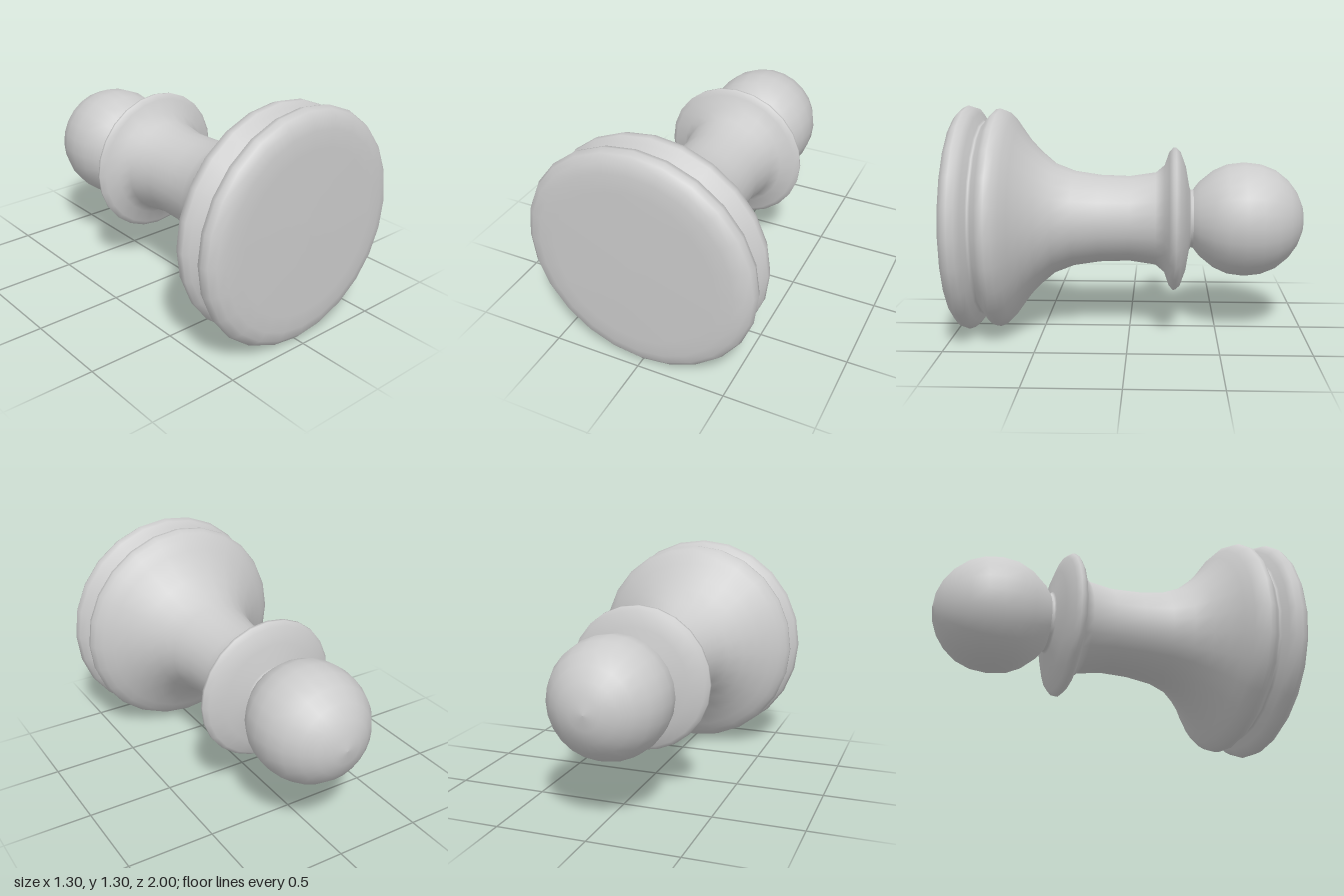
import * as THREE from 'three';

const material = new THREE.MeshStandardMaterial({ color: 0xcccccc });
const SIDES = 24;
const RADIUS = 0.648;

// Turned profiles as [radius, height] pairs, running from the foot to the tip
const profiles = {
  base: [
    [0, -1], [0.45, -0.997], [0.545, -0.99], [0.6, -0.977], [0.634, -0.95], [RADIUS, -0.92],
    [0.637, -0.885], [0.605, -0.86], [0.565, -0.84], [0.555, -0.83], [0.565, -0.815],
    [0.605, -0.785], [0.628, -0.76], [0.63, -0.735], [0.615, -0.7], [0.58, -0.665],
    [0.53, -0.63], [0.46, -0.58], [0.39, -0.515], [0.318, -0.43], [0.275, -0.32],
    [0.252, -0.17], [0.246, 0], [0.268, 0.15], [0.31, 0.2], [0.385, 0.226],
    [0.413, 0.25], [0.411, 0.265], [0.388, 0.29], [0.3, 0.322], [0.18, 0.343],
    [0.166, 0.352], [0.17, 0.365],
  ],
  head: [
    [0.17, 0.365], [0.215, 0.4], [0.28, 0.48], [0.316, 0.56], [0.328, 0.655], [0.317, 0.75],
    [0.283, 0.835], [0.225, 0.907], [0.158, 0.957], [0.083, 0.988], [0, 1],
  ],
};

function turned(name, profile) {
  const points = profile.map(([r, h]) => new THREE.Vector2(r, h));
  const mesh = new THREE.Mesh(new THREE.LatheGeometry(points, SIDES), material);
  mesh.name = name;
  return mesh;
}

export function createModel() {
  const group = new THREE.Group();
  group.name = 'pawn';

  // The piece lies on its side: foot towards +z, head towards -z
  const piece = new THREE.Group();
  piece.name = 'lyingPiece';
  piece.add(turned('baseStemAndCollar', profiles.base));
  piece.add(turned('head', profiles.head));
  piece.rotation.x = -Math.PI / 2;
  piece.position.y = RADIUS;

  group.add(piece);
  return group;
}
